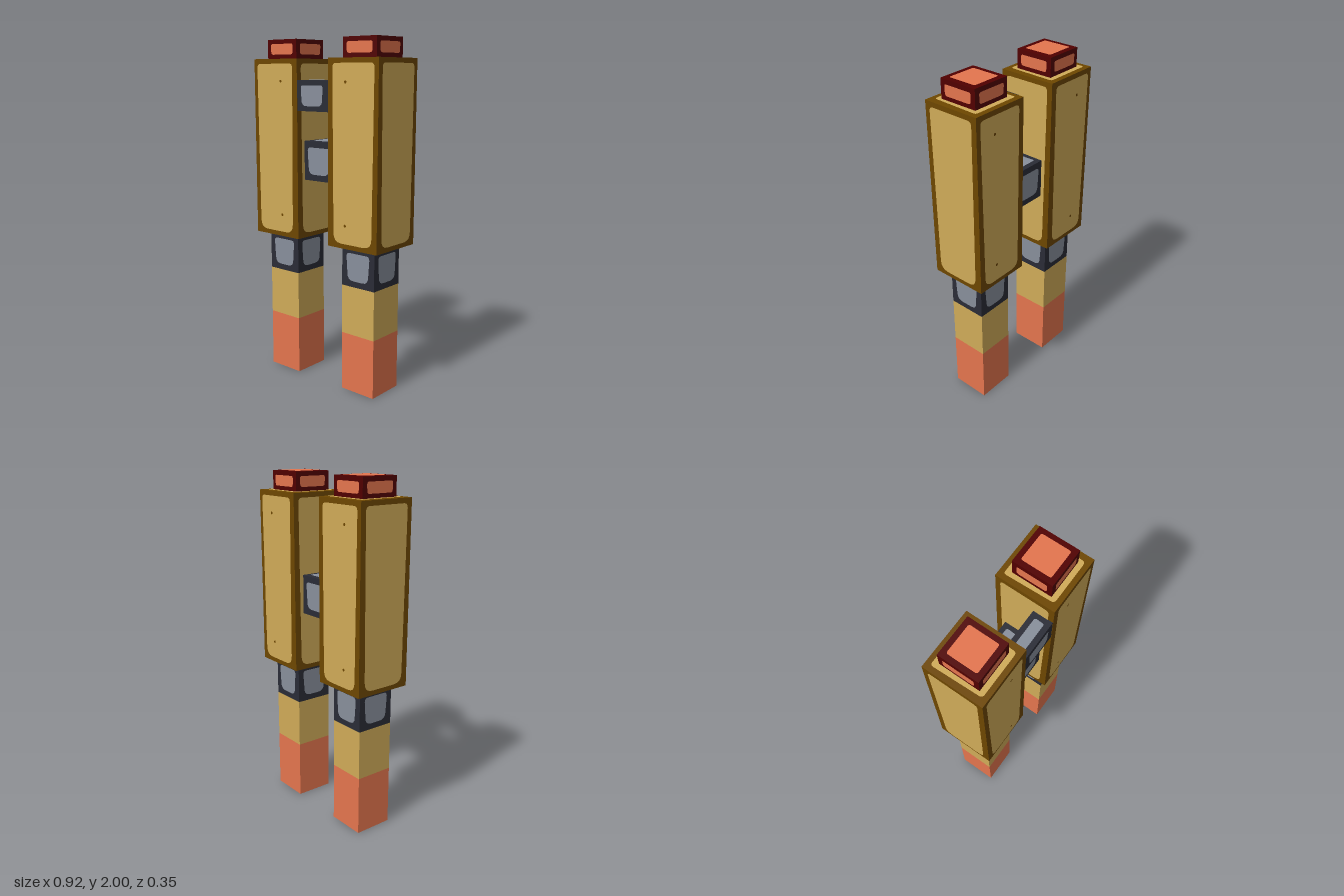
import * as THREE from 'three';

const mat = (name, color) => {
  const m = new THREE.MeshStandardMaterial({ color });
  m.name = name;
  return m;
};

// Tapered panel outline with rounded corners, tighter at the top than at the bottom
function panelShape(w, h, taper, rTop, rBottom) {
  const a = w / 2, b = w / 2 - taper, t = h / 2;
  const s = new THREE.Shape();
  s.moveTo(-b + rBottom, -t);
  s.lineTo(b - rBottom, -t);
  s.quadraticCurveTo(b, -t, b, -t + rBottom);
  s.lineTo(a, t - rTop);
  s.quadraticCurveTo(a, t, a - rTop, t);
  s.lineTo(-a + rTop, t);
  s.quadraticCurveTo(-a, t, -a, t - rTop);
  s.lineTo(-b, -t + rBottom);
  s.quadraticCurveTo(-b, -t, -b + rBottom, -t);
  return s;
}

// Each face: rotation about x and y, the axes of its width, height and depth, and its direction
const FACES = {
  front: [0, 0, 0, 1, 2, 1],
  back: [0, Math.PI, 0, 1, 2, -1],
  left: [0, Math.PI / 2, 2, 1, 0, 1],
  right: [0, -Math.PI / 2, 2, 1, 0, -1],
  top: [-Math.PI / 2, 0, 0, 2, 1, 1],
  bottom: [Math.PI / 2, 0, 0, 2, 1, -1],
};
const SIDES = ['front', 'back', 'left', 'right'];

export function createModel() {
  const root = new THREE.Group();
  root.name = 'twinTubes';
  const brown = mat('dark brown', 0x6e4700);
  const tan = mat('tan', 0xd0ab58);
  const orange = mat('orange', 0xe4754e);
  const maroon = mat('maroon', 0x510000);
  const charcoal = mat('charcoal', 0x2a2c36);
  const grey = mat('grey', 0x888f9b);

  // Box given by its minimum and maximum corners
  function block(parent, name, material, min, max) {
    const size = max.map((v, i) => v - min[i]);
    const g = new THREE.Group();
    g.name = name;
    g.position.set(...min.map((v, i) => (v + max[i]) / 2));
    const m = new THREE.Mesh(new THREE.BoxGeometry(...size), material);
    m.name = name + 'Block';
    g.add(m);
    g.userData.size = size;
    parent.add(g);
    return g;
  }

  // Flat inset panels laid on the chosen faces of a block
  function panels(g, material, faces, mx, my, taper, rTop, rBottom, shift = 0) {
    for (const f of faces) {
      const [rx, ry, wi, hi, di, sign] = FACES[f];
      const s = g.userData.size;
      const shape = panelShape(s[wi] - 2 * mx, s[hi] - 2 * my, taper, rTop, rBottom);
      const m = new THREE.Mesh(new THREE.ShapeGeometry(shape, 4), material);
      m.name = f + 'Panel';
      m.rotation.set(rx, ry, 0);
      m.position.setComponent(di, sign * (s[di] / 2 + 0.002));
      if (wi === 0) m.position.x += shift;
      g.add(m);
    }
  }

  for (const side of [-1, 1]) {
    const tube = new THREE.Group();
    tube.name = side > 0 ? 'leftTube' : 'rightTube';
    tube.position.x = side * 0.286;
    root.add(tube);

    // Wide housing with tan panels
    const housing = block(tube, 'housing', brown, [-0.171, 0.86, -0.171], [0.171, 1.89, 0.171]);
    panels(housing, tan, SIDES, 0.03, 0.027, 0.008, 0.025, 0.055, side * 0.004);
    panels(housing, tan, ['top'], 0.029, 0.028, 0.008, 0.015, 0.02);

    // Small rivets on the front and back panels
    for (const dir of [1, -1]) {
      for (const y of [0.99, 1.765]) {
        const rivet = new THREE.Mesh(new THREE.CircleGeometry(0.009, 6), brown);
        rivet.name = 'rivet';
        rivet.rotation.y = dir > 0 ? 0 : Math.PI;
        rivet.position.set(-dir * side * 0.046, y, dir * 0.175);
        tube.add(rivet);
      }
    }

    // Cap on top
    const cap = block(tube, 'cap', maroon, [-0.114, 1.89, -0.114], [0.114, 2, 0.114]);
    panels(cap, orange, SIDES, 0.027, 0.025, 0.001, 0.012, 0.016);
    panels(cap, orange, ['top'], 0.029, 0.029, 0, 0.012, 0.012);

    // Collar, shaft and coloured tip
    const collar = block(tube, 'collar', charcoal, [-0.114, 0.63, -0.114], [0.114, 0.86, 0.114]);
    panels(collar, grey, SIDES, 0.033, 0.035, 0.007, 0.022, 0.042);
    block(tube, 'shaft', tan, [-0.114, 0.345, -0.114], [0.114, 0.63, 0.114]);
    block(tube, 'tip', orange, [-0.114, 0, -0.114], [0.114, 0.345, 0.114]);

    // Tan rear half of the tip's underside
    const sole = new THREE.Mesh(new THREE.PlaneGeometry(0.228, 0.114), tan);
    sole.name = 'tipUnderside';
    sole.rotation.x = Math.PI / 2;
    sole.position.set(0, -0.002, -0.057);
    tube.add(sole);
  }

  // Two bridges joining the housings; the upper one sits at the front
  const upper = block(root, 'upperBridge', charcoal, [-0.116, 1.602, 0.055], [0.116, 1.772, 0.169]);
  panels(upper, grey, ['front', 'back'], 0.035, 0.028, 0.004, 0.015, 0.035, -0.004);
  panels(upper, grey, ['top', 'bottom'], 0.031, 0.029, 0.001, 0.012, 0.012);
  const lower = block(root, 'lowerBridge', charcoal, [-0.116, 1.205, -0.114], [0.116, 1.43, 0.114]);
  panels(lower, grey, ['front', 'back'], 0.033, 0.035, 0.007, 0.02, 0.04, -0.004);
  panels(lower, grey, ['top', 'bottom'], 0.03, 0.029, 0.008, 0.012, 0.025);

  return root;
}
